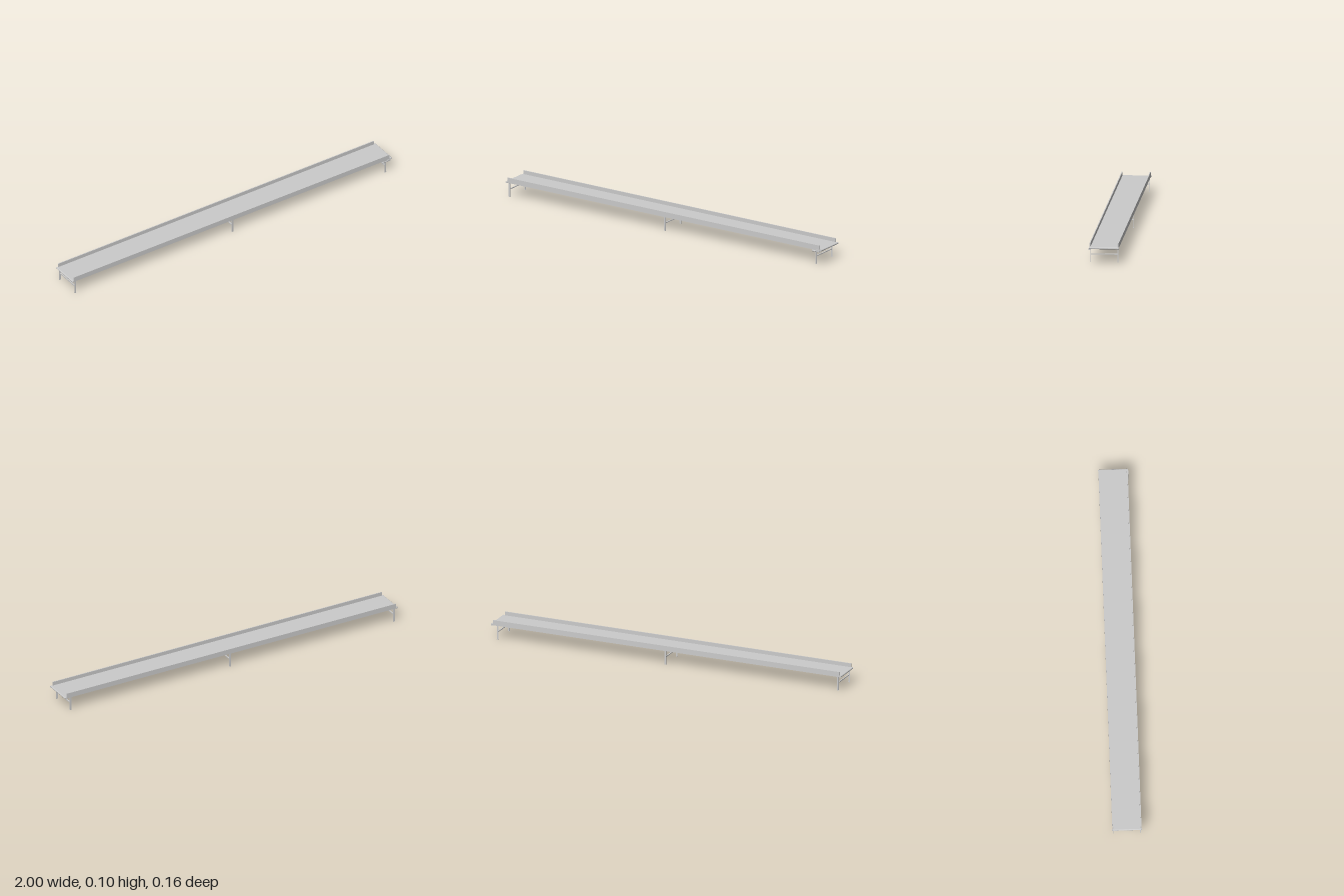
import * as THREE from 'three';

const material = new THREE.MeshStandardMaterial({ color: 0xcccccc });

function add(parent, name, geometry, x, y, z) {
  const mesh = new THREE.Mesh(geometry, material);
  mesh.name = name;
  mesh.position.set(x, y, z);
  parent.add(mesh);
  return mesh;
}
const box = (w, h, d) => new THREE.BoxGeometry(w, h, d);

const BELT_Y = 0.079, BELT_R = 0.005, RAIL_Z = 0.0735;

// Closed belt loop: a long stadium profile extruded across the width
function beltGeometry(halfLength, width) {
  const c = halfLength - BELT_R;
  const shape = new THREE.Shape();
  shape.moveTo(-c, -BELT_R);
  shape.lineTo(c, -BELT_R);
  shape.absarc(c, 0, BELT_R, -Math.PI / 2, Math.PI / 2, false);
  shape.lineTo(-c, BELT_R);
  shape.absarc(-c, 0, BELT_R, Math.PI / 2, Math.PI * 1.5, false);
  return new THREE.ExtrudeGeometry(shape, { depth: width, bevelEnabled: false, curveSegments: 10 })
    .translate(0, 0, -width / 2);
}

// Pair of legs with feet, joined by a cross bar
function makeTrestle(x) {
  const trestle = new THREE.Group();
  trestle.name = 'trestle';
  trestle.position.x = x;
  for (const s of [1, -1]) {
    add(trestle, 'leg', box(0.009, 0.08, 0.003), 0, 0.04, s * 0.0712);
    add(trestle, 'foot', box(0.011, 0.002, 0.004), 0, 0.001, s * 0.0712);
  }
  add(trestle, 'crossBar', box(0.006, 0.0045, 0.142), 0, 0.0425, 0);
  return trestle;
}

export function createModel() {
  const model = new THREE.Group();
  model.name = 'conveyor';

  add(model, 'belt', beltGeometry(1, 0.143), 0, BELT_Y, 0);

  // Side guard rails with end bearings
  for (const s of [1, -1]) {
    add(model, 'sideRail', box(1.976, 0.027, 0.005), -0.002, 0.0905, s * RAIL_Z);
    for (const e of [1, -1]) {
      add(model, 'bearingPlate', box(0.02, 0.008, 0.004), e * 0.986, BELT_Y, s * RAIL_Z);
      const cap = add(model, 'rollerCap', new THREE.CylinderGeometry(0.0045, 0.0045, 0.007, 16),
        e * 0.9945, BELT_Y, s * 0.0745);
      cap.rotation.x = Math.PI / 2;
    }
  }

  for (const x of [-0.979, 0.005, 0.962]) model.add(makeTrestle(x));

  // Drive motor slung under the front rail
  const drive = new THREE.Group();
  drive.name = 'drive';
  const motor = add(drive, 'motor', new THREE.CylinderGeometry(0.005, 0.005, 0.032, 16), 0.956, 0.07, 0.074);
  motor.rotation.z = Math.PI / 2;
  add(drive, 'gearbox', box(0.018, 0.011, 0.008), 0.981, 0.074, 0.0755);
  add(drive, 'motorBracket', box(0.024, 0.006, 0.01), 0.956, 0.075, 0.072);
  model.add(drive);

  return model;
}
